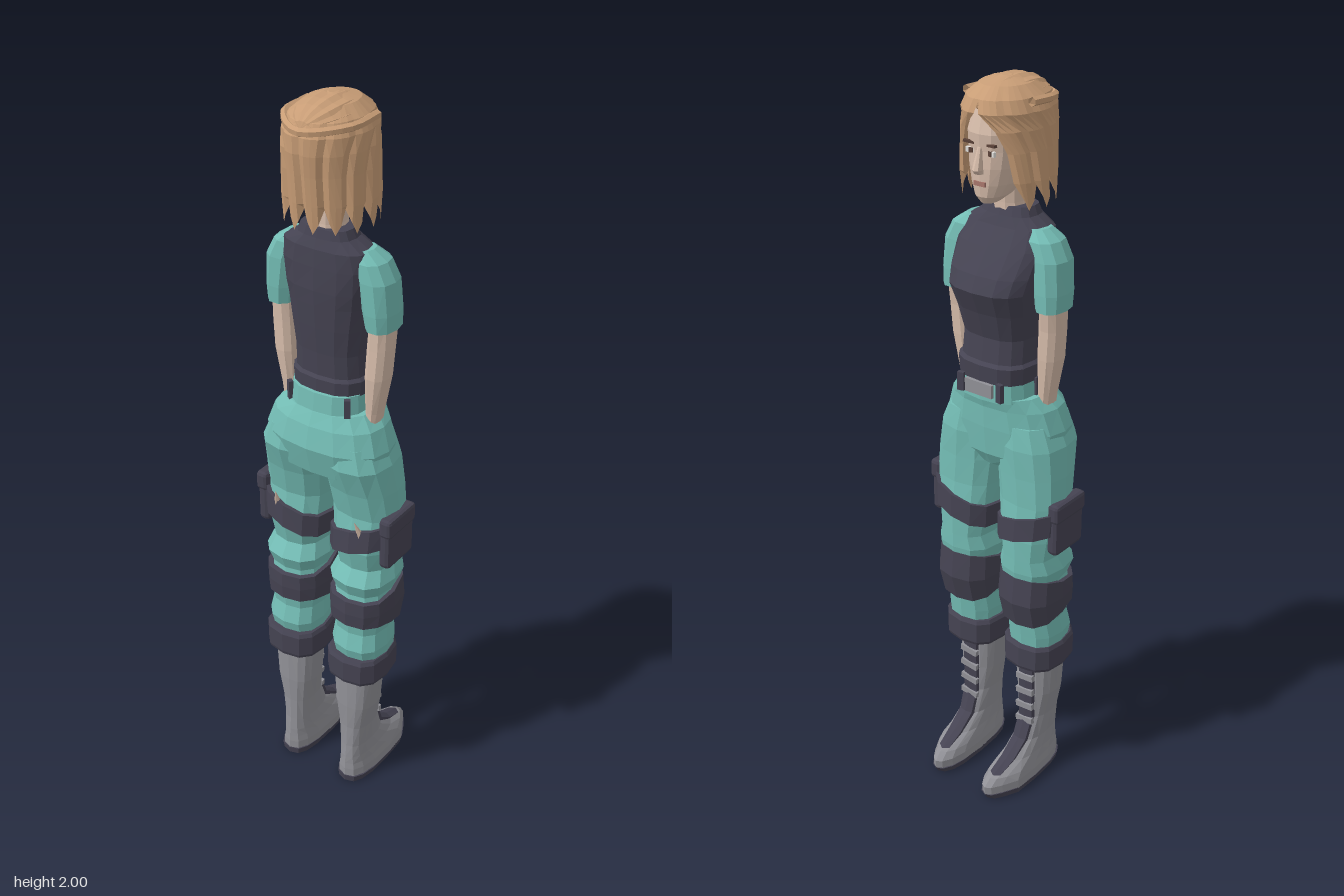
import * as THREE from 'three';
import { RoundedBoxGeometry } from 'three/addons/geometries/RoundedBoxGeometry.js';

const mat = (name, color, side = THREE.FrontSide) => new THREE.MeshStandardMaterial({ name, color, side });
const TEAL = mat('teal cloth', 0x74bdb5);
const DARK = mat('dark fabric', 0x454352);
const GREY = mat('grey leather', 0x919197);
const SKIN = mat('skin', 0xd6bcaa);
const HAIR = mat('hair', 0xc89d76, THREE.DoubleSide);
const BROWN = mat('brow brown', 0x5b4238);
const WHITE = mat('eye white', 0xe4e2de);
const LIPS = mat('lips', 0xa9766c);

// Faceted normals
function facet(g) {
  const f = g.index ? g.toNonIndexed() : g;
  f.computeVertexNormals();
  return f;
}

// Rings of [y, xMin, xMax, zBack, zFront], joined from bottom to top and capped
function loft(rings, n = 12, p = 0.85, warp = null) {
  const pos = [], idx = [];
  const pw = v => Math.sign(v) * Math.abs(v) ** p;
  const add = (x, y, z) => {
    const v = new THREE.Vector3(x, y, z);
    if (warp) warp(v);
    pos.push(v.x, v.y, v.z);
  };
  for (const [y, x0, x1, zb, zf] of rings)
    for (let i = 0; i < n; i++) {
      const t = (i / n) * Math.PI * 2;
      add((x0 + x1) / 2 + (x1 - x0) / 2 * pw(Math.cos(t)), y, (zb + zf) / 2 + (zb - zf) / 2 * pw(Math.sin(t)));
    }
  for (const r of [rings[0], rings[rings.length - 1]]) add((r[1] + r[2]) / 2, r[0], (r[3] + r[4]) / 2);
  const last = (rings.length - 1) * n, bottom = rings.length * n;
  for (let i = 0; i < n; i++) {
    const k = (i + 1) % n;
    for (let a = 0; a < last; a += n) idx.push(a + i, a + n + i, a + k, a + k, a + n + i, a + n + k);
    idx.push(bottom, i, k, bottom + 1, last + k, last + i);
  }
  const g = new THREE.BufferGeometry();
  g.setAttribute('position', new THREE.Float32BufferAttribute(pos, 3));
  g.setIndex(idx);
  return facet(g);
}
// Symmetric rings of [y, halfWidth, zBack, zFront]
const body = (rings, n, p) => loft(rings.map(([y, w, b, f]) => [y, -w, w, b, f]), n, p);

// Copy to the other side of x = 0 and restore the corner order
function mirror(g) {
  const m = g.clone(), a = m.attributes.position;
  for (let i = 0; i < a.count; i += 3) {
    const t = [0, 2, 1].map(k => [-a.getX(i + k), a.getY(i + k), a.getZ(i + k)]);
    t.forEach((v, k) => a.setXYZ(i + k, ...v));
  }
  return facet(m);
}

function box(w, h, d, x, y, z, ry = 0, rz = 0) {
  return facet(new THREE.BoxGeometry(w, h, d).rotateZ(rz).rotateY(ry).translate(x, y, z));
}

// Hair curtain: rows of [y, halfWidth, zBack, zFront, half angle of the face opening]
function hairShell() {
  const rows = [
    [1.998, 0.012, 0.045, 0.02, 0], [1.985, 0.06, 0.11, -0.04, 0], [1.96, 0.09, 0.155, -0.075, 0],
    [1.93, 0.104, 0.172, -0.088, 0.06], [1.89, 0.108, 0.173, -0.086, 0.45],
    [1.84, 0.111, 0.168, -0.084, 0.68], [1.77, 0.116, 0.162, -0.08, 0.78], [1.72, 0.115, 0.157, -0.072, 0.85]];
  const cols = 40, pos = [], idx = [];
  rows.forEach(([y, w, b, f, gap], r) => {
    for (let j = 0; j <= cols; j++) {
      const a = gap + (j / cols) * (2 * Math.PI - 2 * gap);
      const k = 1 - (j % 4 === 0 ? 0.012 * r : 0);
      const hem = r === rows.length - 1 ? [0.04, 0.005, -0.018, 0.01][j % 4] : 0;
      pos.push(w * k * Math.sin(a), y + hem, (b + f) / 2 - (b - f) / 2 * k * Math.cos(a));
    }
  });
  for (let r = 0; r < rows.length - 1; r++)
    for (let j = 0; j < cols; j++) {
      const a = r * (cols + 1) + j, c = a + cols + 1;
      idx.push(a, a + 1, c, a + 1, c + 1, c);
    }
  const g = new THREE.BufferGeometry();
  g.setAttribute('position', new THREE.Float32BufferAttribute(pos, 3));
  g.setIndex(idx);
  return facet(g);
}

// Swept-back crown with grooves running front to back
function crownHair() {
  const g = new THREE.SphereGeometry(1, 28, 10).rotateX(Math.PI / 2), a = g.attributes.position;
  for (let i = 0; i < a.count; i++) {
    const x = a.getX(i), y = a.getY(i), z = a.getZ(i);
    const k = Math.round(Math.atan2(y, x) / (Math.PI / 14)) % 2 === 0 ? 1 : 0.93;
    a.setXYZ(i, x * k * 0.084, 1.947 + y * k * 0.053, 0.048 + z * 0.112);
  }
  return facet(g);
}

export function createModel() {
  const root = new THREE.Group();
  const part = (name, geo, m) => {
    const mesh = new THREE.Mesh(geo, m);
    mesh.name = name;
    root.add(mesh);
  };
  const pair = (name, geo, m) => {
    part(name + 'Left', geo, m);
    part(name + 'Right', mirror(geo), m);
  };

  // Feet and boots
  const toe = v => {
    if (v.z < -0.09 && v.x > 0.08) v.x -= (v.x - 0.08) * Math.min(1, (-0.09 - v.z) * 5);
  };
  pair('sole', loft([[0, 0.05, 0.15, 0.13, -0.165], [0.02, 0.046, 0.155, 0.132, -0.178]], 16, 0.7, toe), DARK);
  pair('boot', loft([
    [0.018, 0.046, 0.154, 0.13, -0.176], [0.045, 0.046, 0.153, 0.13, -0.178], [0.065, 0.05, 0.148, 0.128, -0.155],
    [0.09, 0.055, 0.143, 0.126, -0.085], [0.13, 0.058, 0.14, 0.122, -0.028], [0.2, 0.055, 0.145, 0.12, 0],
    [0.28, 0.043, 0.16, 0.123, 0.004], [0.41, 0.032, 0.17, 0.123, 0]], 16, 0.8, toe), GREY);
  pair('bootTongue', loft([
    [0.07, 0.075, 0.115, 0.03, -0.145], [0.095, 0.074, 0.122, 0.03, -0.088], [0.135, 0.074, 0.124, 0.03, -0.033],
    [0.2, 0.075, 0.127, 0.04, -0.007], [0.4, 0.075, 0.127, 0.04, -0.007]], 8, 0.4), DARK);
  for (let i = 0; i < 4; i++)
    pair('bootStrap' + (i + 1), box(0.056, 0.018, 0.012, 0.101, 0.19 + i * 0.05, -0.006, 0, 0.1), GREY);
  pair('bootCuff', loft([
    [0.39, 0.022, 0.186, 0.143, -0.038], [0.4, 0.018, 0.19, 0.146, -0.042],
    [0.46, 0.018, 0.19, 0.146, -0.042], [0.47, 0.024, 0.184, 0.14, -0.036]], 12, 0.75), DARK);

  // Trousers
  pair('trouserLeg', loft([
    [0.45, 0.033, 0.18, 0.122, -0.03], [0.5, 0.028, 0.185, 0.135, -0.035], [0.55, 0.032, 0.178, 0.122, -0.04],
    [0.62, 0.022, 0.188, 0.13, -0.055], [0.68, 0.028, 0.182, 0.12, -0.06], [0.72, 0.016, 0.195, 0.135, -0.066],
    [0.76, 0.03, 0.182, 0.108, -0.066], [0.82, 0.02, 0.19, 0.12, -0.066], [0.92, 0.012, 0.2, 0.105, -0.055],
    [1.0, 0.003, 0.196, 0.122, -0.055], [1.08, 0, 0.186, 0.15, -0.058], [1.14, 0.01, 0.16, 0.14, -0.05]], 12, 0.8), TEAL);
  part('hips', body([
    [1.0, 0.05, 0.08, -0.03], [1.04, 0.165, 0.14, -0.053], [1.12, 0.178, 0.16, -0.06], [1.18, 0.157, 0.147, -0.062],
    [1.215, 0.125, 0.13, -0.072]], 16, 0.85), TEAL);

  // Knee pads, flared at the front
  pair('kneePad', loft([
    [0.585, 0.018, 0.192, 0.135, -0.055], [0.625, 0.014, 0.196, 0.138, -0.075], [0.665, 0.016, 0.194, 0.136, -0.066]],
    12, 0.8, v => {
      const f = THREE.MathUtils.clamp((0.07 - v.z) / 0.12, 0, 1);
      v.y = 0.625 + (v.y - 0.625) * (1 + f * 0.95);
    }), DARK);

  // Thigh straps and pouches
  pair('thighStrap', loft([[0.818, 0.01, 0.202, 0.128, -0.072], [0.882, 0.008, 0.206, 0.122, -0.068]],
    12, 0.8, v => { v.y += (v.x - 0.1) * 0.28; }), DARK);
  pair('pouch', facet(new RoundedBoxGeometry(0.034, 0.152, 0.12, 1, 0.012).translate(0.195, 0.863, 0.035)), DARK);
  pair('pouchFlap', facet(new RoundedBoxGeometry(0.036, 0.055, 0.126, 1, 0.01).translate(0.198, 0.912, 0.035)), DARK);

  // Belt with loops and buckle plate
  part('belt', body([[1.205, 0.108, 0.128, -0.076], [1.265, 0.104, 0.122, -0.074]], 16, 0.75), TEAL);
  part('beltBuckle', box(0.085, 0.036, 0.01, 0, 1.238, -0.078), GREY);
  pair('backLoop', box(0.016, 0.05, 0.012, 0.087, 1.238, 0.103, 0.6), DARK);
  pair('frontLoop', box(0.018, 0.05, 0.012, 0.062, 1.238, -0.073, 0.2), DARK);
  pair('sideLoop', box(0.01, 0.05, 0.022, 0.106, 1.238, 0.025), DARK);

  // Vest
  part('vest', body([
    [1.255, 0.105, 0.112, -0.075], [1.3, 0.108, 0.113, -0.078], [1.308, 0.1, 0.106, -0.068], [1.37, 0.098, 0.108, -0.06],
    [1.44, 0.108, 0.114, -0.08], [1.5, 0.118, 0.118, -0.105], [1.54, 0.125, 0.12, -0.088], [1.6, 0.13, 0.118, -0.045],
    [1.645, 0.118, 0.115, -0.012], [1.67, 0.078, 0.106, 0], [1.692, 0.068, 0.1, 0.01]], 16, 0.75), DARK);

  // Arms, with fingertips showing behind the thighs
  pair('sleeve', loft([
    [1.455, 0.108, 0.183, 0.088, -0.02], [1.5, 0.1, 0.185, 0.092, -0.02], [1.58, 0.085, 0.18, 0.094, -0.016],
    [1.625, 0.07, 0.157, 0.09, -0.01], [1.65, 0.06, 0.12, 0.075, 0.01]], 10), TEAL);
  pair('arm', loft([
    [1.15, 0.108, 0.138, 0.068, 0.015], [1.22, 0.108, 0.148, 0.07, 0.01], [1.32, 0.106, 0.167, 0.077, 0.002],
    [1.4, 0.11, 0.173, 0.075, 0], [1.47, 0.115, 0.175, 0.075, -0.008]], 10), SKIN);
  pair('fingertip', facet(new THREE.ConeGeometry(0.011, 0.06, 5).rotateX(0.35).rotateZ(0.15).translate(0.13, 0.9, 0.118)), SKIN);

  // Head
  part('neck', body([[1.64, 0.05, 0.095, 0.005], [1.7, 0.04, 0.09, 0.005], [1.78, 0.042, 0.09, 0]], 10), SKIN);
  part('head', body([
    [1.712, 0.018, 0, -0.056], [1.73, 0.037, 0.04, -0.068], [1.76, 0.053, 0.08, -0.071], [1.8, 0.064, 0.1, -0.072],
    [1.84, 0.069, 0.11, -0.07], [1.88, 0.07, 0.11, -0.073], [1.94, 0.055, 0.1, -0.058]], 16), SKIN);
  part('nose', body([[1.788, 0.012, -0.06, -0.084], [1.798, 0.012, -0.06, -0.092], [1.85, 0.006, -0.06, -0.074]], 8), SKIN);
  part('mouth', box(0.034, 0.011, 0.008, 0, 1.763, -0.069), LIPS);
  pair('eye', box(0.026, 0.012, 0.008, 0.03, 1.838, -0.064, 0.25), WHITE);
  pair('iris', box(0.011, 0.012, 0.009, 0.029, 1.838, -0.065, 0.25), BROWN);
  pair('brow', box(0.034, 0.006, 0.009, 0.031, 1.857, -0.066, 0.25, 0.1), BROWN);

  // Hair
  part('hairCurtain', hairShell(), HAIR);
  part('hairCrown', crownHair(), HAIR);
  const band = new THREE.CatmullRomCurve3([[-0.097, 1.955, 0], [-0.09, 1.95, 0.095], [0, 1.94, 0.164], [0.09, 1.95, 0.095],
    [0.097, 1.955, 0]].map(q => new THREE.Vector3(...q)));
  part('hairTwist', facet(new THREE.TubeGeometry(band, 18, 0.011, 6)), HAIR);
  return root;
}
